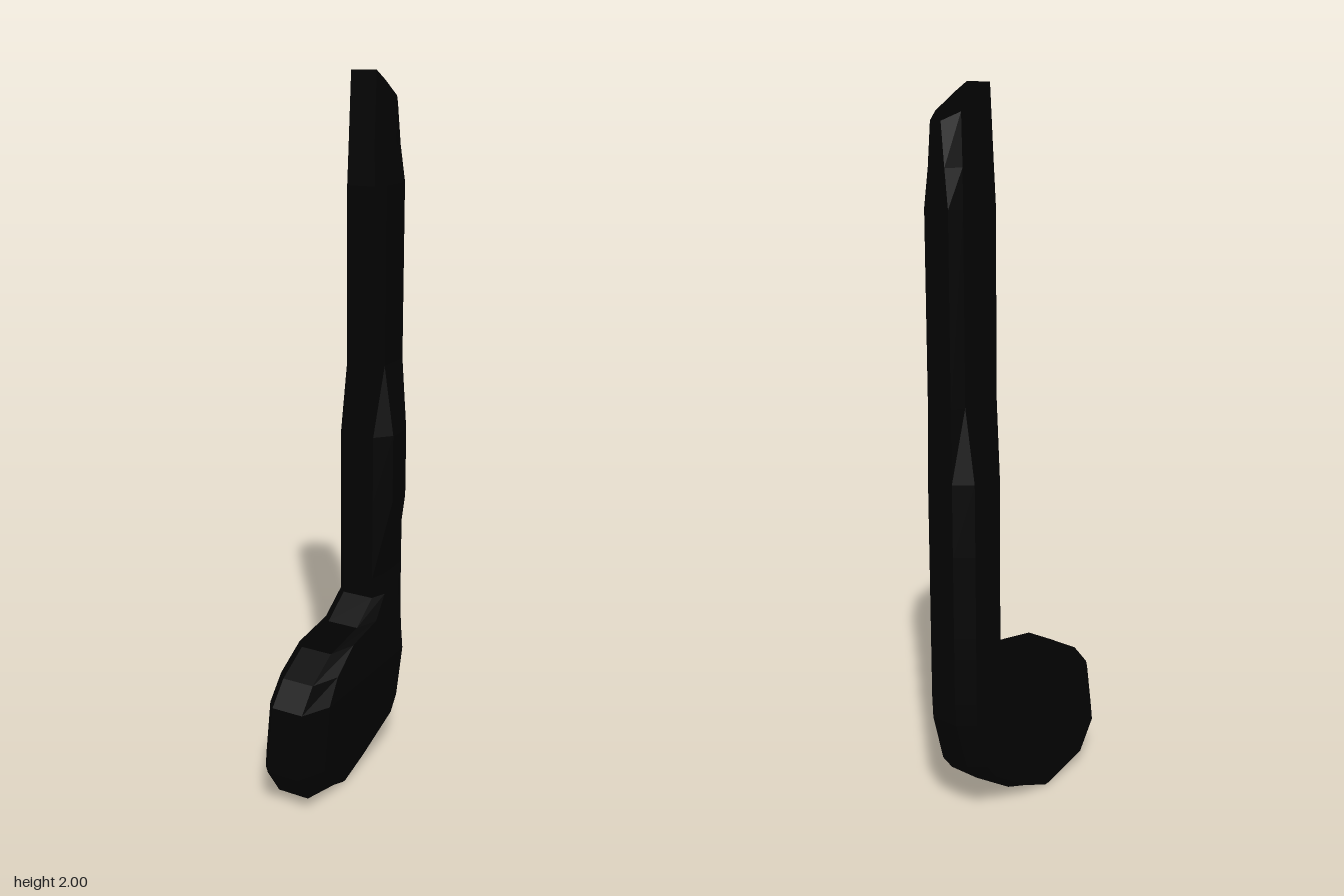
import * as THREE from 'three';

// Each row: [y, front z, back z, right-hand x min, x max, back edge x min, back edge x max]
const HEAD = [
  [0.00, 0.065, 0.035, -0.08, 0.05, -0.06, 0.04],
  [0.04, 0.24, -0.09, -0.08, 0.058, -0.05, 0.045],
  [0.125, 0.297, -0.22, -0.08, 0.08, -0.045, 0.05],
  [0.17, 0.291, -0.255, -0.08, 0.08, -0.04, 0.05],
  [0.31, 0.268, -0.292, -0.08, 0.08, -0.035, 0.05],
  [0.375, 0.21, -0.295, -0.08, 0.073, -0.035, 0.05],
  [0.43, 0.11, -0.295, -0.08, 0.067, -0.035, 0.05],
  [0.45, -0.04, -0.295, -0.08, 0.065, -0.035, 0.05],
  [0.51, -0.13, -0.295, -0.08, 0.058, -0.035, 0.05],
];
const STEM = [
  HEAD[HEAD.length - 1],
  [0.57, -0.13, -0.295, -0.08, 0.05, -0.035, 0.05],
  [0.80, -0.13, -0.295, -0.08, 0.08, -0.035, 0.05],
  [1.00, -0.13, -0.295, -0.08, 0.08, -0.035, 0.05],
  [1.20, -0.13, -0.295, -0.05, 0.05, -0.035, 0.045],
  [1.70, -0.13, -0.295, -0.05, 0.05, -0.035, 0.045],
  [1.80, -0.137, -0.295, -0.05, 0.037, -0.025, 0.03],
  [2.00, -0.15, -0.295, -0.05, 0.035, -0.015, 0.02],
];

// Eight-sided bevelled cross-section, counterclockwise from above
function ring([y, zf, zb, xl, xr, bl, br]) {
  const depth = zf - zb;
  const fl = Math.max(-0.055, xl + 0.004);
  const fr = Math.min(0.04, xr - 0.004);
  const cr = Math.min(0.082, depth * 0.28);
  const cl = Math.min(0.028, depth * 0.2);
  const cb = Math.min(0.038, depth * 0.24);
  const pts = [
    [fl, zf], [fr, zf], [xr, zf - cr], [xr, zb + cb],
    [br, zb], [bl, zb], [xl, zb + cb], [xl, zf - cl],
  ];
  // The tip is cut on a slant, falling towards the back
  return pts.map(([x, z]) => [x, y === 2 ? 2 + (z + 0.15) * 0.62 : y, z]);
}

// Skin the cross-sections and close the chosen ends
function loft(rows, capBottom, capTop) {
  const rings = rows.map(ring);
  const pos = [];
  const tri = (a, b, c) => pos.push(...a, ...b, ...c);
  for (let r = 0; r < rings.length - 1; r++) {
    const lo = rings[r], hi = rings[r + 1];
    for (let i = 0; i < 8; i++) {
      const j = (i + 1) % 8;
      tri(lo[i], lo[j], hi[j]);
      tri(lo[i], hi[j], hi[i]);
    }
  }
  const first = rings[0], last = rings[rings.length - 1];
  for (let i = 1; i < 7; i++) {
    if (capBottom) tri(first[0], first[i + 1], first[i]);
    if (capTop) tri(last[0], last[i], last[i + 1]);
  }
  const geo = new THREE.BufferGeometry();
  geo.setAttribute('position', new THREE.Float32BufferAttribute(pos, 3));
  geo.computeVertexNormals(); // unshared vertices give faceted normals
  return geo;
}

export function createModel() {
  const group = new THREE.Group();
  group.name = 'musicalNote';
  const black = new THREE.MeshStandardMaterial({ color: 0x020202 });
  black.name = 'black';

  const head = new THREE.Mesh(loft(HEAD, true, false), black);
  head.name = 'noteHead';
  const stem = new THREE.Mesh(loft(STEM, false, true), black);
  stem.name = 'noteStem';
  group.add(head, stem);
  return group;
}
